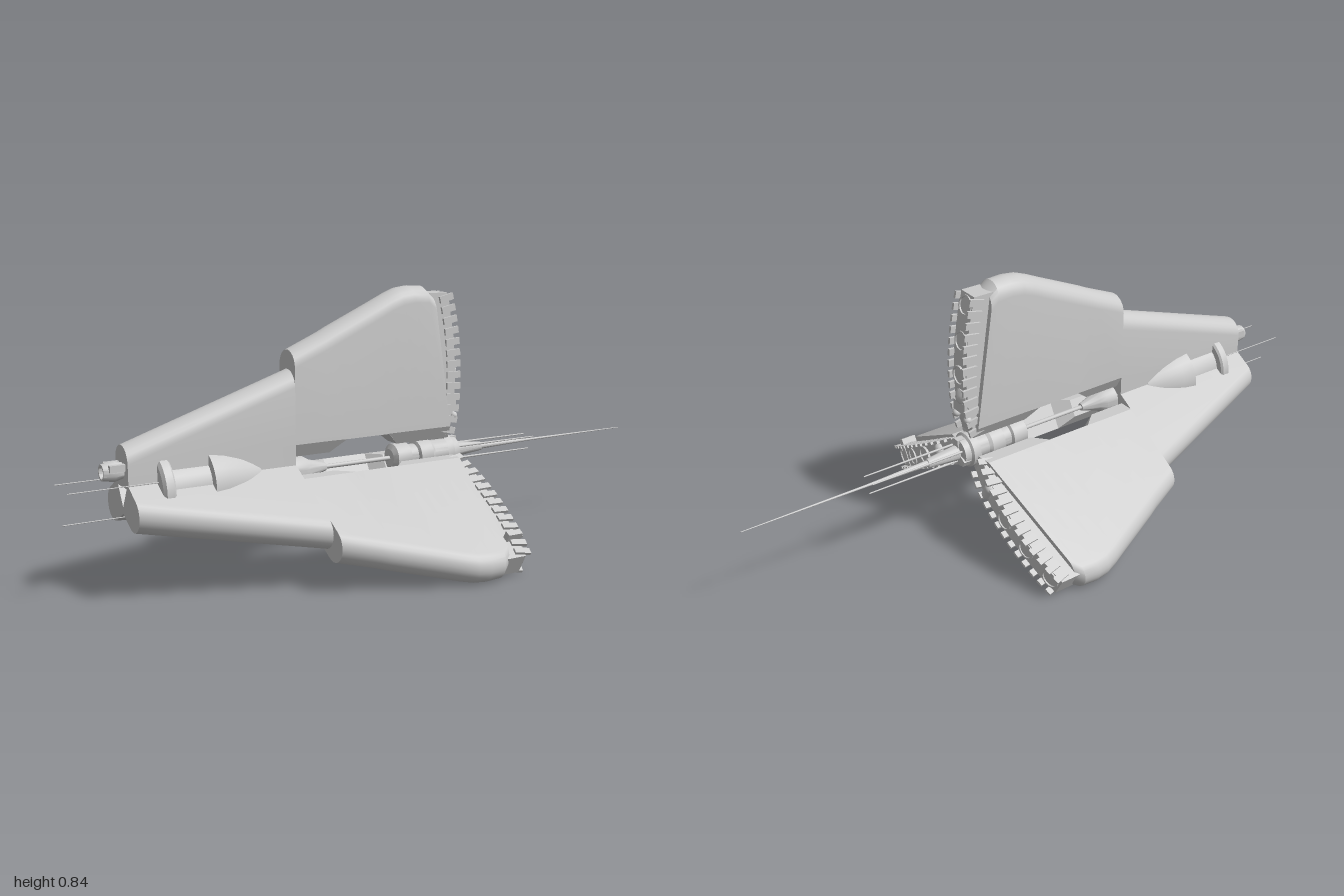
import * as THREE from 'three';
import { toCreasedNormals } from 'three/addons/utils/BufferGeometryUtils.js';

const AXIS_Y = 0.3;   // height of the long axis
const HALF = 0.05;    // half thickness of a wing
const grey = new THREE.MeshStandardMaterial({ color: 0xcccccc, side: THREE.DoubleSide });

function add(parent, name, geometry, x = 0, y = 0, z = 0) {
  const mesh = new THREE.Mesh(geometry, grey);
  mesh.name = name;
  mesh.position.set(x, y, z);
  parent.add(mesh);
  return mesh;
}

// Solid of revolution along x, from [x, radius] pairs
function turned(points, sides = 32) {
  const g = new THREE.LatheGeometry(points.map(([x, r]) => new THREE.Vector2(r, x)), sides);
  g.rotateZ(-Math.PI / 2);
  return toCreasedNormals(g, 0.5);
}

// Straight rod along x
function rod(parent, name, x0, x1, r0, r1, y = 0, z = 0) {
  const g = new THREE.CylinderGeometry(r1, r0, x1 - x0, 10);
  g.rotateZ(-Math.PI / 2);
  return add(parent, name, g, (x0 + x1) / 2, y, z);
}

// Wing body: sections [x at outer edge, x at inner edge, outer radius, inner radius, inner half thickness]
function loftWing(sections) {
  const rings = sections.map(([xo, xi, ro, ri, hi]) => {
    const mid = Math.max(ri, 0.09), ring = [[ri, hi], [mid, HALF]];
    for (let i = 0; i <= 12; i++) {
      const a = (i / 12) * Math.PI;
      ring.push([ro - HALF + HALF * Math.sin(a), HALF * Math.cos(a)]);
    }
    ring.push([mid, -HALF], [ri, -hi]);
    return ring.map(([r, w]) => [xi + (xo - xi) * (r - ri) / (ro - ri), r, w]);
  });
  const pos = [], n = rings[0].length;
  const tri = (a, b, c) => pos.push(...a, ...b, ...c);
  for (let s = 0; s < rings.length - 1; s++) {
    const A = rings[s], B = rings[s + 1];
    for (let j = 0; j < n; j++) {
      const k = (j + 1) % n;
      tri(A[j], B[j], A[k]);
      tri(A[k], B[j], B[k]);
    }
  }
  const first = rings[0], last = rings[rings.length - 1];
  for (let j = 1; j < n - 1; j++) {
    tri(first[0], first[j], first[j + 1]);
    tri(last[0], last[j + 1], last[j]);
  }
  const g = new THREE.BufferGeometry();
  g.setAttribute('position', new THREE.Float32BufferAttribute(pos, 3));
  return toCreasedNormals(g, 0.5);
}

const rearWing = loftWing([
  [-0.825, -0.825, 0.14, 0.02, HALF],
  [-0.305, -0.305, 0.312, 0.02, HALF],
]);
const frontWing = loftWing([
  [-0.305, -0.305, 0.37, 0.05, 0.028],
  [-0.20, -0.18, 0.415, 0.05, 0.028],
  [-0.17, -0.13, 0.43, 0.089, HALF],
  [-0.02, 0.02, 0.497, 0.089, HALF],
  [0.03, 0.06, 0.52, 0.05, 0.028],
  [0.07, 0.12, 0.535, 0.05, 0.028],
  [0.11, 0.17, 0.54, 0.05, 0.028],
  [0.16, 0.22, 0.537, 0.05, 0.028],
  [0.185, 0.253, 0.515, 0.05, 0.028],
]);

// Bowed leading edge as a curve in the (x, radius) plane
const edge = new THREE.CatmullRomCurve3([
  [0.245, 0.515], [0.26, 0.45], [0.274, 0.36], [0.28, 0.25], [0.274, 0.14], [0.257, 0.06],
].map(([x, r]) => new THREE.Vector3(x, r, 0)));

function makeGrille() {
  const grille = new THREE.Group();
  grille.name = 'leadingEdge';
  // Core strip behind the teeth
  const shape = new THREE.Shape();
  shape.moveTo(0.24, 0.06);
  shape.lineTo(0.175, 0.515);
  edge.getPoints(20).forEach((p) => shape.lineTo(p.x - 0.006, p.y));
  const strip = new THREE.ExtrudeGeometry(shape, { depth: 0.068, bevelEnabled: false });
  strip.translate(0, 0, -0.034);
  add(grille, 'edgeStrip', strip);
  // Teeth down both sides
  for (let i = 0; i < 13; i++) {
    const t = (i + 0.5) / 13, p = edge.getPointAt(t), d = edge.getTangentAt(t);
    for (const side of [-1, 1]) {
      const tooth = add(grille, 'edgeTooth', new THREE.BoxGeometry(0.05, 0.021, 0.009), p.x - 0.014, p.y, side * 0.037);
      tooth.rotation.z = Math.atan2(d.x, -d.y);
    }
  }
  // Round emitter plates
  for (const r of [0.48, 0.37, 0.26]) {
    const t = (0.515 - r) / 0.455, p = edge.getPoint(t), d = edge.getTangent(t);
    const plate = add(grille, 'emitterPlate',
      turned([[-0.01, 0], [-0.01, 0.031], [0.004, 0.031], [0.004, 0.026], [0, 0.025], [0, 0]], 20), p.x - 0.003, r, 0);
    plate.rotation.z = Math.atan2(d.x, -d.y);
  }
  return grille;
}

export function createModel() {
  const root = new THREE.Group();
  root.name = 'spacecraft';
  const ship = new THREE.Group();
  ship.name = 'craft';
  ship.position.y = AXIS_Y;
  root.add(ship);

  // Three wings around the long axis
  for (let k = 0; k < 3; k++) {
    const wing = new THREE.Group();
    wing.name = 'wing';
    wing.rotation.x = (k * Math.PI * 2) / 3;
    add(wing, 'rearWing', rearWing);
    add(wing, 'frontWing', frontWing);
    wing.add(makeGrille());

    if (k === 0) {
      // Top wing: exhaust at the rear, sensor cluster in front
      add(wing, 'exhaust', turned([[-0.82, 0], [-0.82, 0.022], [-0.85, 0.03], [-0.885, 0.024], [-0.885, 0.018], [-0.84, 0.016], [-0.84, 0]], 16), 0, 0.067, 0);
      for (const z of [-0.026, 0.026]) add(wing, 'exhaustFin', new THREE.BoxGeometry(0.05, 0.02, 0.014), -0.845, 0.08, z);
      add(wing, 'sensorBlock', new THREE.BoxGeometry(0.02, 0.035, 0.06), 0.272, 0.155, 0);
      add(wing, 'sensorDome', turned([[0.25, 0.03], [0.275, 0.028], [0.285, 0.014], [0.288, 0]], 20), 0, 0.185, 0);
      for (const z of [-0.03, 0.03]) add(wing, 'sensorPod', new THREE.SphereGeometry(0.013, 12, 8), 0.272, 0.12, z);
    } else {
      // Lower wings: rounded pod
      const pod = new THREE.CapsuleGeometry(0.018, 0.03, 6, 12);
      pod.rotateX(Math.PI / 2);
      add(wing, 'edgePod', pod, 0.27, 0.155, 0);
    }
    if (k === 1) add(wing, 'crossBar', new THREE.BoxGeometry(0.05, 0.02, 0.11), 0.235, 0.44, -0.005);

    // Thin aerials in the gaps between wings
    rod(wing, 'noseAerial', 0.27, 0.6, 0.004, 0.002, -0.03, 0);
    rod(wing, 'rearAerial', -1, -0.72, 0.0015, 0.0015, -0.068, 0);
    rod(wing, 'coreRod', -0.42, -0.29, 0.008, 0.008, -0.032, 0);
    ship.add(wing);
  }

  // Engine body with a rear ring and a bell
  add(ship, 'engineBody', turned([
    [-0.74, 0], [-0.74, 0.095], [-0.733, 0.106], [-0.71, 0.106], [-0.704, 0.1], [-0.704, 0.08],
    [-0.585, 0.08], [-0.585, 0.106], [-0.54, 0.1], [-0.48, 0.084], [-0.42, 0.06], [-0.41, 0.045],
    [-0.40, 0.03], [-0.31, 0.028], [-0.30, 0.045], [-0.26, 0.042], [-0.24, 0.03], [-0.18, 0.012], [-0.18, 0],
  ]));
  rod(ship, 'coreShaft', -0.2, 0.08, 0.007, 0.007);
  // Drum at the front of the open core
  add(ship, 'coreDrum', turned([
    [0.05, 0], [0.05, 0.028], [0.06, 0.044], [0.11, 0.044], [0.115, 0.036], [0.14, 0.036],
    [0.145, 0.046], [0.19, 0.046], [0.2, 0.04], [0.26, 0.04], [0.26, 0],
  ], 24));
  // Nose hub, cone and long probe
  add(ship, 'noseHub', turned([
    [0.24, 0.055], [0.265, 0.055], [0.27, 0.047], [0.29, 0.045], [0.295, 0.024], [0.33, 0.021],
    [0.4, 0.014], [0.4, 0.01], [0.5, 0.007], [0.6, 0.004], [1.0, 0.0012], [1.0, 0],
  ], 24));
  for (let k = 0; k < 3; k++) {
    const spoke = new THREE.Group();
    spoke.name = 'hubClamp';
    spoke.rotation.x = (k * Math.PI * 2) / 3;
    add(spoke, 'clamp', new THREE.BoxGeometry(0.035, 0.025, 0.022), 0.28, 0.034, 0);
    ship.add(spoke);
  }
  return root;
}
